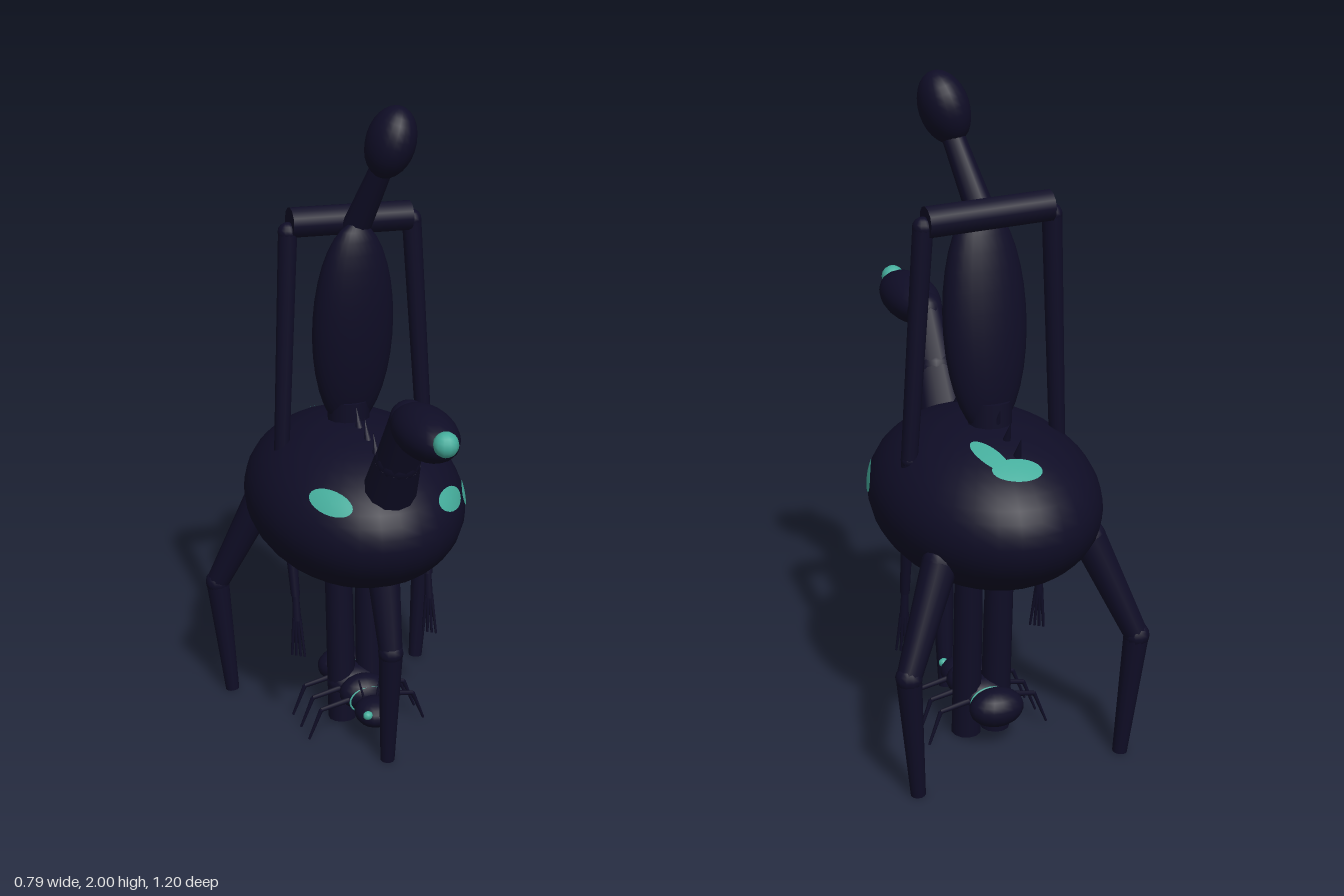
import * as THREE from 'three';

export function createModel() {
  const root = new THREE.Group();
  const dark = new THREE.MeshStandardMaterial({ color: 0x0f0d26 });
  dark.name = 'midnight';
  const teal = new THREE.MeshStandardMaterial({ color: 0x45ad9c });
  teal.name = 'teal';
  const V = (x, y, z) => new THREE.Vector3(x, y, z);

  function add(name, geo, mat = dark, parent = root) {
    const m = new THREE.Mesh(geo, mat);
    m.name = name;
    parent.add(m);
    return m;
  }

  // Tapered limb between two points
  function limb(name, a, b, ra, rb, parent = root, sides = 12) {
    const from = V(...a), dir = V(...b).sub(from);
    const m = add(name, new THREE.CylinderGeometry(rb, ra, dir.length(), sides), dark, parent);
    m.position.copy(from).addScaledVector(dir, 0.5);
    m.quaternion.setFromUnitVectors(V(0, 1, 0), dir.normalize());
    return m;
  }

  function blob(name, p, r, rot = [0, 0, 0], mat = dark, parent = root, seg = 20) {
    const m = add(name, new THREE.SphereGeometry(1, seg, Math.round(seg * 0.7)), mat, parent);
    m.position.set(...p);
    m.scale.set(...r);
    m.rotation.set(...rot);
    return m;
  }

  // Main body
  const C = V(0, 0.775, -0.17), R = V(0.325, 0.245, 0.43);
  blob('body', C.toArray(), R.toArray(), [0, 0, 0], dark, root, 32);

  // Thin oval marking laid onto the body surface
  function marking(p, dir, a, b) {
    const n = V(...p).sub(C).divide(R).divide(R).normalize();
    const u = V(...dir).addScaledVector(n, -V(...dir).dot(n)).normalize();
    const w = n.clone().cross(u);
    const geo = new THREE.RingGeometry(0.001, 1, 24, 4);
    const pos = geo.attributes.position;
    for (let i = 0; i < pos.count; i++) {
      const q = V(...p).addScaledVector(u, pos.getX(i) * a).addScaledVector(w, pos.getY(i) * b);
      q.sub(C).divide(R).normalize().multiplyScalar(1.006).multiply(R).add(C);
      pos.setXYZ(i, q.x, q.y, q.z);
    }
    geo.computeVertexNormals();
    add('bodyMarking', geo, teal);
  }
  marking([0.195, 0.86, 0.14], [0.6, -0.15, -0.7], 0.075, 0.036);
  marking([0.285, 0.81, 0.005], [0.4, -0.15, -0.9], 0.078, 0.034);
  marking([-0.172, 0.895, 0.115], [-0.5, 0, -1], 0.075, 0.036);
  marking([0.02, 0.955, -0.455], [1, 0, 0.25], 0.072, 0.042);
  marking([0.072, 0.975, -0.38], [0.25, 0, 1], 0.08, 0.028);

  // Spine spikes leaning back
  for (let i = 0; i < 7; i++) {
    const z = 0.035 - i * 0.073;
    const y = C.y + R.y * Math.sqrt(1 - ((z - C.z) / R.z) ** 2);
    limb('spineSpike', [0, y - 0.015, z], [0, y + 0.055, z - 0.03], 0.014, 0.0005, root, 8);
  }

  // Long neck, head and nose
  limb('neckBase', [0, 0.86, 0.11], [0, 1.04, 0.205], 0.085, 0.068);
  blob('neckJoint', [0, 1.04, 0.205], [0.067, 0.067, 0.067]);
  limb('neckUpper', [0, 1.04, 0.205], [0, 1.2, 0.29], 0.066, 0.055);
  blob('neckTop', [0, 1.2, 0.29], [0.056, 0.056, 0.056]);
  blob('head', [0, 1.208, 0.41], [0.083, 0.071, 0.16], [-0.05, 0, 0]);
  blob('nose', [0, 1.232, 0.56], [0.036, 0.036, 0.036], [0, 0, 0], teal, root, 12);

  // Three jointed legs: one in front, two behind
  function leg(name, hip, knee, foot) {
    const g = new THREE.Group();
    g.name = name;
    root.add(g);
    blob('hip', hip, [0.052, 0.052, 0.052], [0, 0, 0], dark, g, 12);
    limb('thigh', hip, knee, 0.052, 0.036, g);
    blob('knee', knee, [0.039, 0.039, 0.039], [0, 0, 0], dark, g, 12);
    limb('shin', knee, foot, 0.037, 0.022, g);
  }
  leg('frontLeg', [0, 0.66, 0.08], [0, 0.39, 0.155], [0, 0.002, 0.13]);
  for (const s of [-1, 1])
    leg('backLeg', [s * 0.23, 0.69, -0.4], [s * 0.355, 0.39, -0.475], [s * 0.322, 0.002, -0.455]);

  // Rider torso, shoulders, neck and head
  blob('riderTorso', [0.005, 1.31, -0.185], [0.125, 0.335, 0.074], [0.1, 0, 0], dark, root, 24);
  limb('riderWaist', [0, 0.9, -0.215], [0, 1.08, -0.21], 0.065, 0.065);
  limb('shoulderBar', [-0.17, 1.637, -0.235], [0.2, 1.623, -0.23], 0.045, 0.045);
  limb('riderNeck', [0.015, 1.62, -0.18], [0.062, 1.83, -0.08], 0.042, 0.032);
  blob('riderHead', [0.076, 1.897, -0.06], [0.07, 0.106, 0.083], [0.12, 0, -0.28]);

  // Rider arms and hands, reaching down through the body
  const arms = [
    [[-0.178, 1.61, -0.23], [-0.215, 0.93, -0.21], [-0.205, 0.48, -0.13]],
    [[0.208, 1.61, -0.23], [0.246, 0.93, -0.21], [0.233, 0.48, -0.13]],
  ];
  for (const [shoulder, elbow, wrist] of arms) {
    const g = new THREE.Group();
    g.name = 'riderArm';
    root.add(g);
    blob('shoulder', shoulder, [0.03, 0.03, 0.03], [0, 0, 0], dark, g, 12);
    limb('upperArm', shoulder, elbow, 0.029, 0.024, g);
    blob('elbow', elbow, [0.025, 0.025, 0.025], [0, 0, 0], dark, g, 12);
    limb('forearm', elbow, wrist, 0.024, 0.014, g);
    const [x, y, z] = wrist;
    limb('palm', [x, y + 0.01, z], [x, y - 0.08, z + 0.01], 0.011, 0.014, g, 8);
    for (let i = 0; i < 4; i++) {
      const k = i - 1.5;
      limb('finger', [x + k * 0.006, y - 0.07, z + 0.01],
        [x + k * 0.011, 0.28, z + 0.02 + k * 0.009], 0.006, 0.004, g, 6);
    }
  }

  // Rider legs below the body
  for (const s of [-1, 1])
    limb('riderLeg', [0.005 + s * 0.05, 0.64, -0.195], [0.005 + s * 0.047, 0.002, -0.165], 0.042, 0.045);

  // Small insect on the ground
  const bug = new THREE.Group();
  bug.name = 'insect';
  root.add(bug);
  blob('insectHead', [0, 0.105, 0.01], [0.06, 0.044, 0.068], [0, 0, 0], dark, bug, 16);
  blob('insectThorax', [0, 0.13, -0.08], [0.08, 0.057, 0.055], [0, 0, 0], dark, bug, 16);
  blob('insectMiddle', [0, 0.125, -0.17], [0.09, 0.055, 0.065], [0, 0, 0], dark, bug, 16);
  blob('insectAbdomen', [0, 0.125, -0.275], [0.085, 0.058, 0.062], [0, 0, 0], dark, bug, 16);
  for (const z of [-0.04, -0.12, -0.222]) {
    const band = add('insectBand', new THREE.TorusGeometry(1, 0.05, 6, 24), teal, bug);
    band.position.set(0, 0.12, z);
    band.scale.set(0.06, 0.044, 0.06);
  }
  for (const s of [-1, 1]) {
    blob('insectEye', [s * 0.036, 0.122, 0.055], [0.016, 0.014, 0.014], [0, 0, 0], teal, bug, 10);
    limb('insectFeeler', [s * 0.02, 0.13, -0.02], [s * 0.035, 0.2, -0.03], 0.004, 0.003, bug, 6);
    for (const z of [-0.05, -0.13, -0.21]) {
      limb('insectUpperLeg', [s * 0.06, 0.125, z], [s * 0.153, 0.108, z], 0.009, 0.007, bug, 6);
      limb('insectLowerLeg', [s * 0.153, 0.108, z], [s * 0.192, 0.008, z - 0.005], 0.007, 0.004, bug, 6);
    }
  }
  return root;
}
